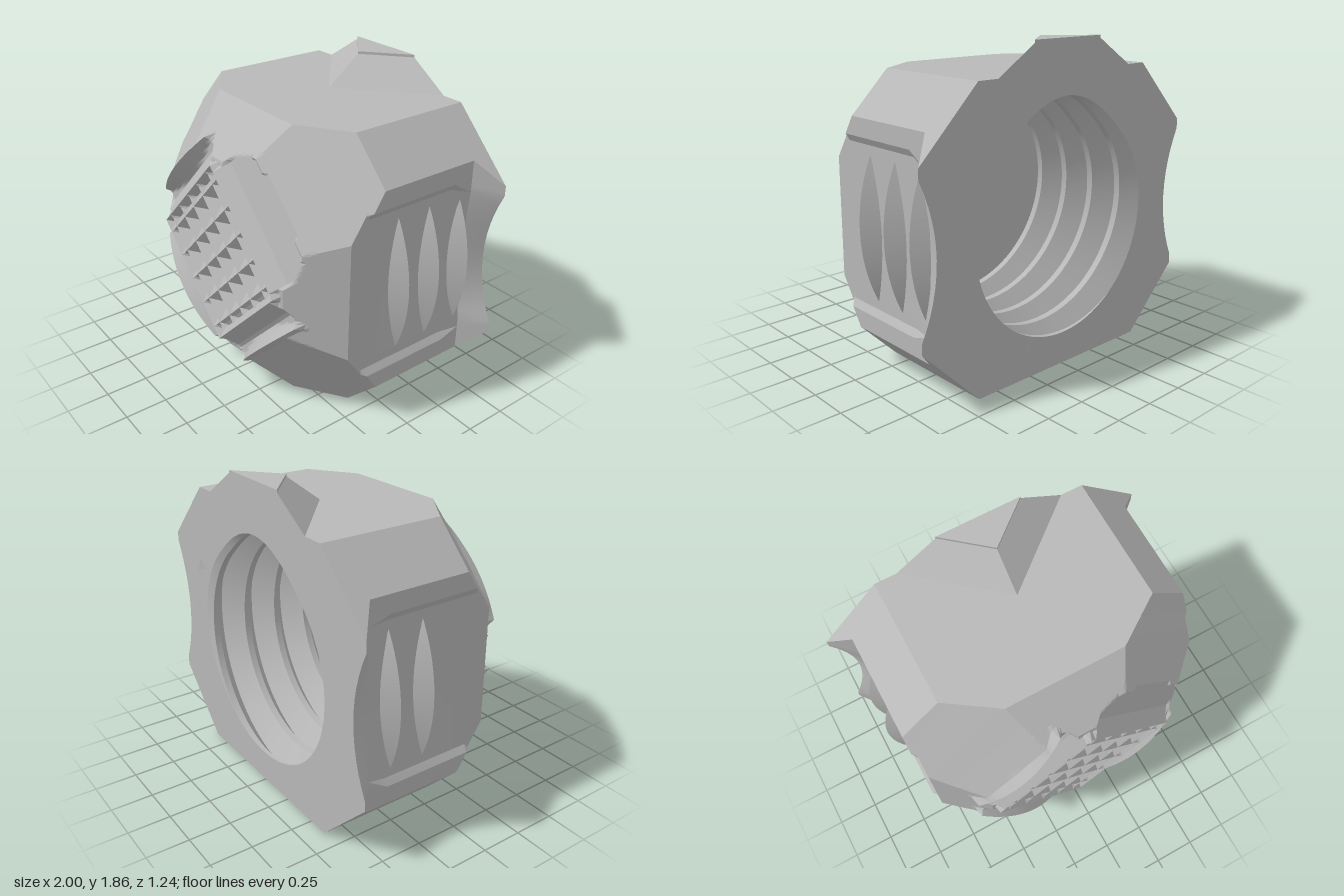
import * as THREE from 'three';
import { toCreasedNormals } from 'three/addons/utils/BufferGeometryUtils.js';

const CY = 0.84;      // height of the main axis
const PITCH = 0.22;   // thread pitch
const BORE = 0.65;
const BACK = -0.62;
const BORE_END = 0.3;

function makeGeometry(pos, idx) {
  const g = new THREE.BufferGeometry();
  g.setAttribute('position', new THREE.Float32BufferAttribute(pos, 3));
  g.setIndex(idx);
  return g;
}

// Flat facets from an indexed geometry
function facet(g) {
  const f = g.toNonIndexed();
  f.computeVertexNormals();
  return f;
}

// Skin a list of closed rings of [x, y, z] points
function loft(rings, flip = false) {
  const n = rings[0].length, idx = [];
  for (let j = 0; j < rings.length - 1; j++) {
    for (let i = 0; i < n; i++) {
      const k = (i + 1) % n;
      const a = j * n + i, b = j * n + k, c = b + n, d = a + n;
      if (flip) idx.push(a, c, b, a, d, c);
      else idx.push(a, b, c, a, c, d);
    }
  }
  return makeGeometry(rings.flat(2), idx);
}

// Outline of the shell: chamfered octagon with inset, optionally scalloped sides
function section({ z, tx, ty = 0.84, w, e, s, q, x, scoop = 0 }) {
  const half = [[tx, -ty], [w, -e], [w, -s]];
  for (let i = -6; i <= 6; i++) half.push([x + scoop * (i / 6) ** 2, q * i / 6]);
  half.push([w, s], [w, e], [tx, ty]);
  const left = half.map(([px, py]) => [-px, py]).reverse();
  return [...half, ...left].map(([px, py]) => [px, CY + py, z]);
}

// Height of the plain chamfered nose
function nose(dx, dy) {
  const a = Math.abs(dx), b = Math.abs(dy);
  return Math.min(0.62, 1.16 - a, 1.16 - b, (1.66 - a - b) / 1.47);
}

// Triangular ridge of a given half width
const ridge = (t, half) => Math.max(0, 1 - Math.abs(t) / half);

// Nose with a diagonal waffle, three bowed rails and one open scoop
function tread(u, v) {
  const base = nose((u - v) / Math.SQRT2, (u + v) / Math.SQRT2);
  const a = Math.abs(u), b = Math.abs(v);
  const m = Math.max(a, b), o = Math.min(a, b);
  const border = 0.08 * ridge(m - 0.4, 0.08);
  if (m < 0.401) {
    const wave = t => 0.07 * ridge(t - Math.round(t / 0.16) * 0.16, 0.08);
    return 0.535 + Math.max(wave(u), wave(v), border);
  }
  if (o > 0.361) return Math.min(base, 0.57);
  if (m < 0.481) return 0.535 + border;
  if (u > 0.48) {
    return u < 0.68 - 0.5 * v * v ? Math.min(base, 0.535 - 0.3 * (u - 0.48)) : base;
  }
  const crest = 0.615 - 0.5 * o * o;
  if (m < 0.581) return Math.max(0.52, crest - 1.2 * (0.58 - m));
  return Math.max(base, crest - 3 * (m - 0.58));
}

function treadGeometry() {
  const n = 88, step = 0.02, pos = [], idx = [];
  const at = i => (i - n / 2) * step;
  for (let j = 0; j <= n; j++) {
    for (let i = 0; i <= n; i++) {
      const u = at(i), v = at(j);
      pos.push((u - v) / Math.SQRT2, CY + (u + v) / Math.SQRT2, tread(u, v));
    }
  }
  const z = k => pos[k * 3 + 2];
  for (let j = 0; j < n; j++) {
    for (let i = 0; i < n; i++) {
      const a = j * (n + 1) + i, b = a + 1, d = a + n + 1, c = d + 1;
      if (Math.min(z(a), z(b), z(c), z(d)) < 0.4) continue;
      // split each cell along the crease it contains
      const mid = 2 * tread(at(i + 0.5), at(j + 0.5));
      if (Math.abs(z(a) + z(c) - mid) <= Math.abs(z(b) + z(d) - mid)) idx.push(a, b, c, a, c, d);
      else idx.push(a, b, d, b, c, d);
    }
  }
  return facet(makeGeometry(pos, idx));
}

// Widening of the bore along its ceiling, where the thread runs out
function relief(t) {
  const k = ridge(t - Math.PI / 2, 0.75);
  return k * k * (3 - 2 * k);
}

// Wall of the bore with helical grooves, swept around the axis
function boreGeometry() {
  const columns = [], n = 96;
  for (let i = 0; i <= n; i++) {
    const t = i / n * Math.PI * 2, open = relief(t);
    const point = (r, z) => [r * Math.cos(t), CY + r * Math.sin(t), z];
    const wall = BORE + 0.06 * open;
    const column = [point(0.81, BACK), point(wall, BACK)];
    for (let k = -4; k <= 1; k++) {
      const zc = -0.01 + PITCH * (k + i / n);
      for (const [dz, depth] of [[-0.09, 0], [0, 0.14], [0.09, 0]]) {
        const z = THREE.MathUtils.clamp(zc + dz, BACK, BORE_END);
        column.push(point(wall + depth * (1 - open), z));
      }
    }
    column.push(point(wall, BORE_END), point(0.81, BORE_END));
    columns.push(column);
  }
  return toCreasedNormals(loft(columns), 0.4);
}

// Slanted lens-shaped grip rib, centred on an angle
function ribGeometry(angle, z) {
  const rings = [];
  for (let i = 0; i <= 20; i++) {
    const d = (i / 20 - 0.5) * 1.06, t = angle + d;
    const zc = z + PITCH * d / (Math.PI * 2);
    rings.push([[0.8, 0.09], [0.935, 0], [0.8, -0.09]].map(
      ([r, dz]) => [r * Math.cos(t), CY + r * Math.sin(t), zc + dz]));
  }
  return toCreasedNormals(loft(rings), 0.5);
}

export function createModel() {
  const group = new THREE.Group();
  const grey = new THREE.MeshStandardMaterial({ color: 0xb8b8b8 });
  grey.name = 'plain grey';
  const add = (name, geometry) => {
    const mesh = new THREE.Mesh(geometry, grey);
    mesh.name = name;
    group.add(mesh);
  };

  // Shell from the flared back rim to the chamfered shoulders
  const rings = [
    { z: BACK, tx: 0.63, w: 1, e: 0.47, s: 0.43, q: 0.41, x: 0.9, scoop: 0.1 },
    { z: -0.5, tx: 0.63, w: 0.865, e: 0.605, s: 0.46, q: 0.42, x: 0.845, scoop: 0.02 },
    { z: -0.37, tx: 0.63, w: 0.865, e: 0.605, s: 0.5, q: 0.46, x: 0.84 },
    { z: 0.13, tx: 0.63, w: 0.865, e: 0.605, s: 0.5, q: 0.46, x: 0.84 },
    { z: 0.2, tx: 0.526, w: 0.865, e: 0.5, s: 0.5, q: 0.46, x: 0.84 },
    { z: 0.225, tx: 0.49, w: 0.84, e: 0.49, s: 0.48, q: 0.46, x: 0.84 },
    { z: 0.32, tx: 0.35, w: 0.84, e: 0.35, s: 0.34, q: 0.32, x: 0.84 },
    { z: 0.44, tx: 0.293, ty: 0.72, w: 0.72, e: 0.293, s: 0.28, q: 0.26, x: 0.72 },
  ].map(section);
  add('shell', toCreasedNormals(loft(rings), 0.35));
  add('frontTread', treadGeometry());

  // Back rim around the bore
  const rim = new THREE.Shape(rings[0].map(([x, y]) => new THREE.Vector2(x, y)));
  const opening = [];
  for (let i = 0; i < 96; i++) {
    const t = i / 96 * Math.PI * 2, r = BORE + 0.06 * relief(t);
    opening.push(new THREE.Vector2(r * Math.cos(t), CY + r * Math.sin(t)));
  }
  rim.holes.push(new THREE.Path(opening));
  add('backRim', new THREE.ShapeGeometry(rim).rotateY(Math.PI).translate(0, 0, BACK));

  // Threaded bore and its end wall
  add('threadedBore', boreGeometry());
  add('boreEnd', new THREE.CircleGeometry(0.81, 96).rotateY(Math.PI).translate(0, CY, BORE_END));

  // Grip ribs, staggered by half a pitch from side to side
  for (const z of [-0.01, -0.23, -0.45]) add('leftRib', ribGeometry(0, z));
  for (const z of [-0.13, -0.35]) add('rightRib', ribGeometry(Math.PI, z));

  // Wedge-shaped crest on top
  const wedge = (y, x, z) => [[x, y, BACK], [0, y, z], [-x, y, BACK]];
  const crest = [wedge(1.68, 0.5, -0.2), wedge(1.84, 0.25, -0.41), wedge(1.855, 0.25, -0.41)];
  add('crest', facet(loft(crest, true)));
  add('crestTop', facet(makeGeometry(crest[2].flat(), [0, 2, 1])));

  return group;
}
